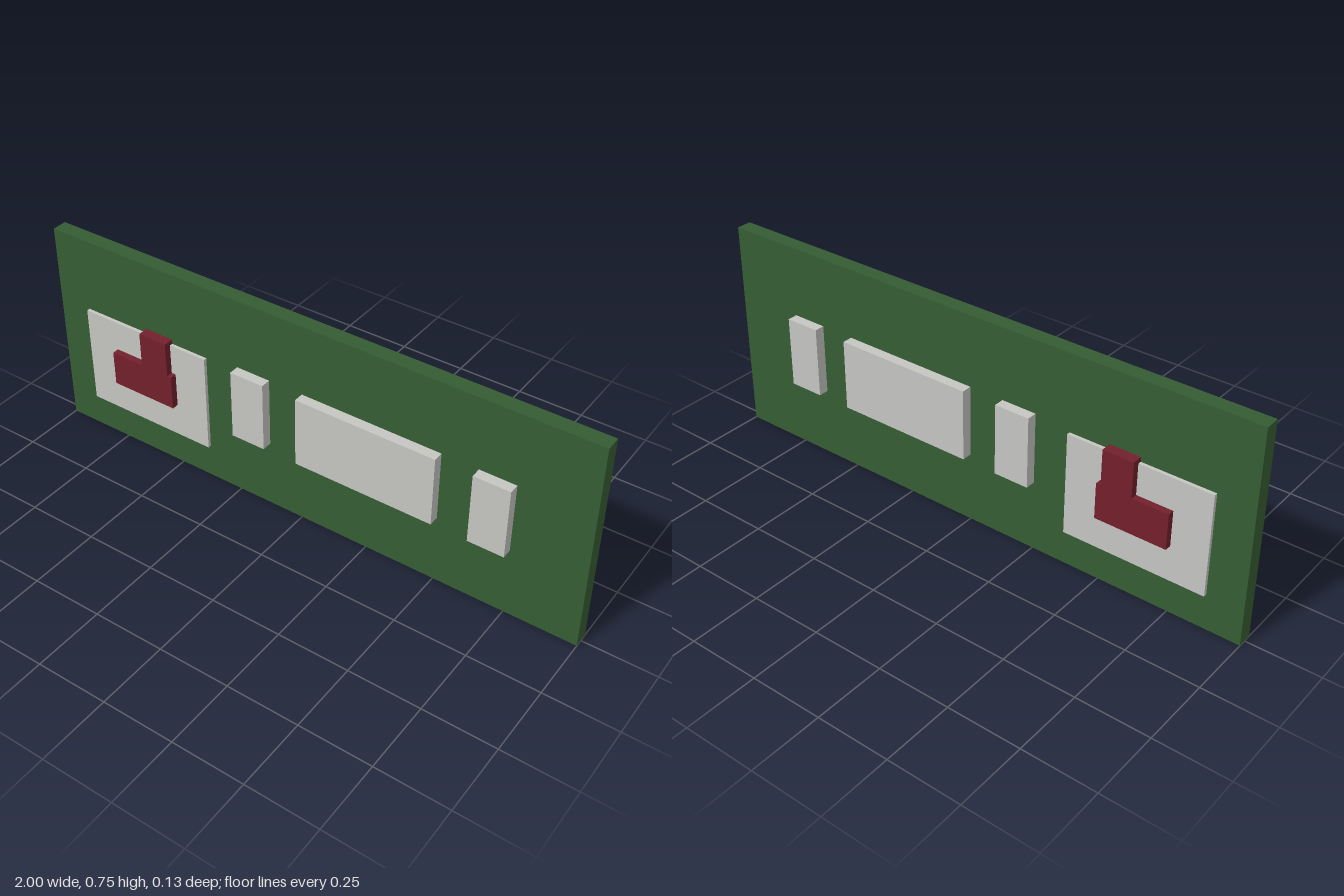
import * as THREE from 'three';

const green = new THREE.MeshStandardMaterial({ name: 'boardGreen', color: 0x355d33 });
const grey = new THREE.MeshStandardMaterial({ name: 'lightGrey', color: 0xc5c5c2 });
const red = new THREE.MeshStandardMaterial({ name: 'darkRed', color: 0x73202c });

const BOARD = 0.0265; // half thickness of the board
const PLATE = 0.0388; // distance of the plate face from the middle
const RAISED = 0.0626; // distance of the raised faces from the middle

export function createModel() {
  const group = new THREE.Group();

  // Box given by its extents
  function block(name, material, x0, x1, y0, y1, z0, z1) {
    const mesh = new THREE.Mesh(new THREE.BoxGeometry(x1 - x0, y1 - y0, z1 - z0), material);
    mesh.position.set((x0 + x1) / 2, (y0 + y1) / 2, (z0 + z1) / 2);
    mesh.name = name;
    group.add(mesh);
  }

  // Relief block repeated on the front and back faces
  function relief(name, material, x0, x1, y0, y1, from, to) {
    block(name + 'Front', material, x0, x1, y0, y1, from, to);
    block(name + 'Back', material, x0, x1, y0, y1, -to, -from);
  }

  block('board', green, -1, 1, 0, 0.75, -BOARD, BOARD);

  // Emblem: backing plate with a base and an upright
  relief('emblemPlate', grey, -0.875, -0.375, 0.126, 0.484, BOARD, PLATE);
  relief('emblemBase', red, -0.75, -0.5, 0.25, 0.375, PLATE, RAISED);
  relief('emblemUpright', red, -0.624, -0.516, 0.375, 0.5, BOARD, RAISED);

  // Row of raised bars
  [[-0.25, -0.125], [0, 0.5], [0.625, 0.75]].forEach(([x0, x1], i) =>
    relief('bar' + (i + 1), grey, x0, x1, 0.25, 0.5, BOARD, RAISED));

  return group;
}
